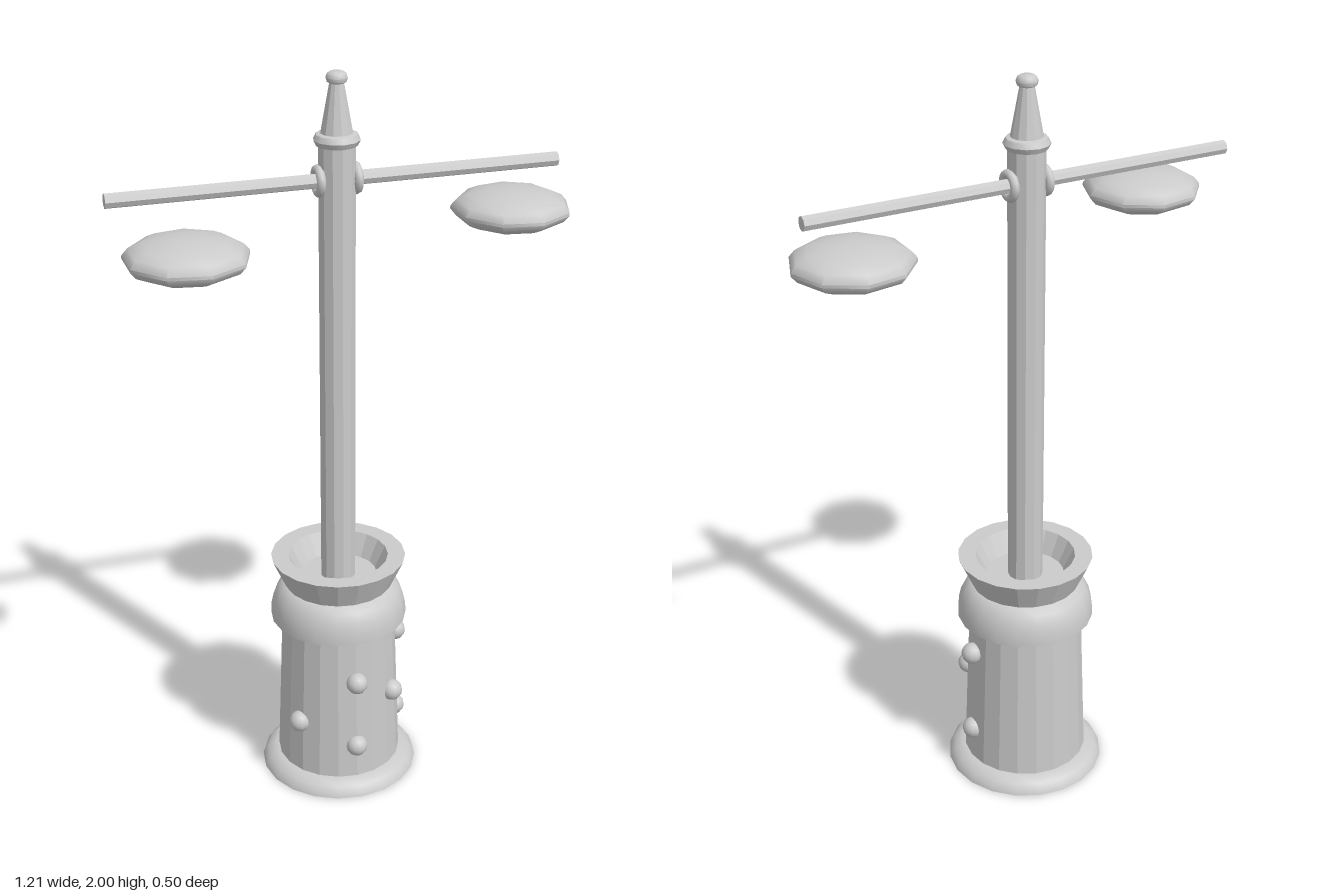
import * as THREE from 'three';
import { toCreasedNormals } from 'three/addons/utils/BufferGeometryUtils.js';

const smooth = new THREE.MeshStandardMaterial({ color: 0xcccccc });
const faceted = new THREE.MeshStandardMaterial({ color: 0xcccccc, flatShading: true });

// Lathe from [radius, height] pairs, listed bottom to top on the outside
function turned(name, profile, sides, material = smooth, phi = 0) {
  const points = profile.map(([r, y]) => new THREE.Vector2(r, y));
  const geometry = new THREE.LatheGeometry(points, sides, phi);
  const mesh = new THREE.Mesh(toCreasedNormals(geometry, 0.7), material);
  mesh.name = name;
  return mesh;
}

export function createModel() {
  const model = new THREE.Group();
  model.name = 'streetLamp';

  // Everything on the post axis
  const post = new THREE.Group();
  post.name = 'post';
  post.position.set(-0.025, 0, -0.032);
  model.add(post);

  // Pedestal: foot, tapered drum, domed band and hollow flared cup
  post.add(turned('foot', [
    [0, 0], [0.22, 0], [0.216, 0.012], [0.204, 0.027], [0.182, 0.04], [0.16, 0.04],
  ], 20));
  post.add(turned('drum', [[0.173, 0.035], [0.156, 0.5]], 20, faceted));
  post.add(turned('domedBand', [
    [0.15, 0.482], [0.188, 0.482], [0.187, 0.51], [0.18, 0.54], [0.167, 0.567], [0.148, 0.585], [0.13, 0.588],
  ], 20));
  post.add(turned('flaredCup', [
    [0.148, 0.583], [0.185, 0.665], [0.137, 0.665], [0.107, 0.605], [0, 0.605],
  ], 20, faceted));

  // Studs scattered over the front half of the drum: [degrees from front, height]
  const studs = [[0, 0.345], [0, 0.14], [45, 0.27], [90, 0.39], [90, 0.135], [-58, 0.2]];
  const studGeometry = new THREE.SphereGeometry(0.03, 12, 8);
  for (const [degrees, y] of studs) {
    const angle = THREE.MathUtils.degToRad(degrees);
    const stud = new THREE.Mesh(studGeometry, smooth);
    stud.name = 'stud';
    stud.position.set(Math.sin(angle) * 0.168, y, Math.cos(angle) * 0.168);
    post.add(stud);
  }

  // Pole with collar, spire and finial
  post.add(turned('pole', [[0.048, 0.59], [0.048, 1.83]], 12, faceted));
  post.add(turned('collar', [
    [0.04, 1.815], [0.053, 1.818], [0.06, 1.832], [0.053, 1.846], [0.04, 1.849],
  ], 12));
  post.add(turned('spire', [[0.043, 1.84], [0.018, 1.975]], 12, faceted));
  post.add(turned('finial', [
    [0.016, 1.97], [0.025, 1.975], [0.028, 1.985], [0.024, 1.995], [0.016, 2], [0, 2],
  ], 12));

  // Crossbar and its two mounting rings
  const bar = new THREE.Mesh(new THREE.CylinderGeometry(0.019, 0.019, 1.18, 8), faceted);
  bar.name = 'crossbar';
  bar.rotation.z = Math.PI / 2;
  bar.position.set(0.005, 1.73, 0);
  post.add(bar);
  for (const side of [-1, 1]) {
    const ring = new THREE.Mesh(new THREE.TorusGeometry(0.03, 0.012, 8, 14), smooth);
    ring.name = 'mountingRing';
    ring.rotation.y = Math.PI / 2;
    ring.position.set(side * 0.049, 1.73, 0);
    post.add(ring);
  }

  // Nine-sided lens-shaped lamps floating below the bar
  const half = [[0.157, 0.004], [0.142, 0.022], [0.11, 0.037], [0.06, 0.047], [0, 0.051]];
  const lens = [...half.map(([r, y]) => [r, -y]).reverse(), ...half];
  for (const [name, x, z] of [['leftLamp', 0.448, -0.032], ['rightLamp', -0.441, 0.09]]) {
    const lamp = turned(name, lens, 9, smooth, Math.PI / 2);
    lamp.position.set(x, 1.61, z);
    model.add(lamp);
  }
  return model;
}
